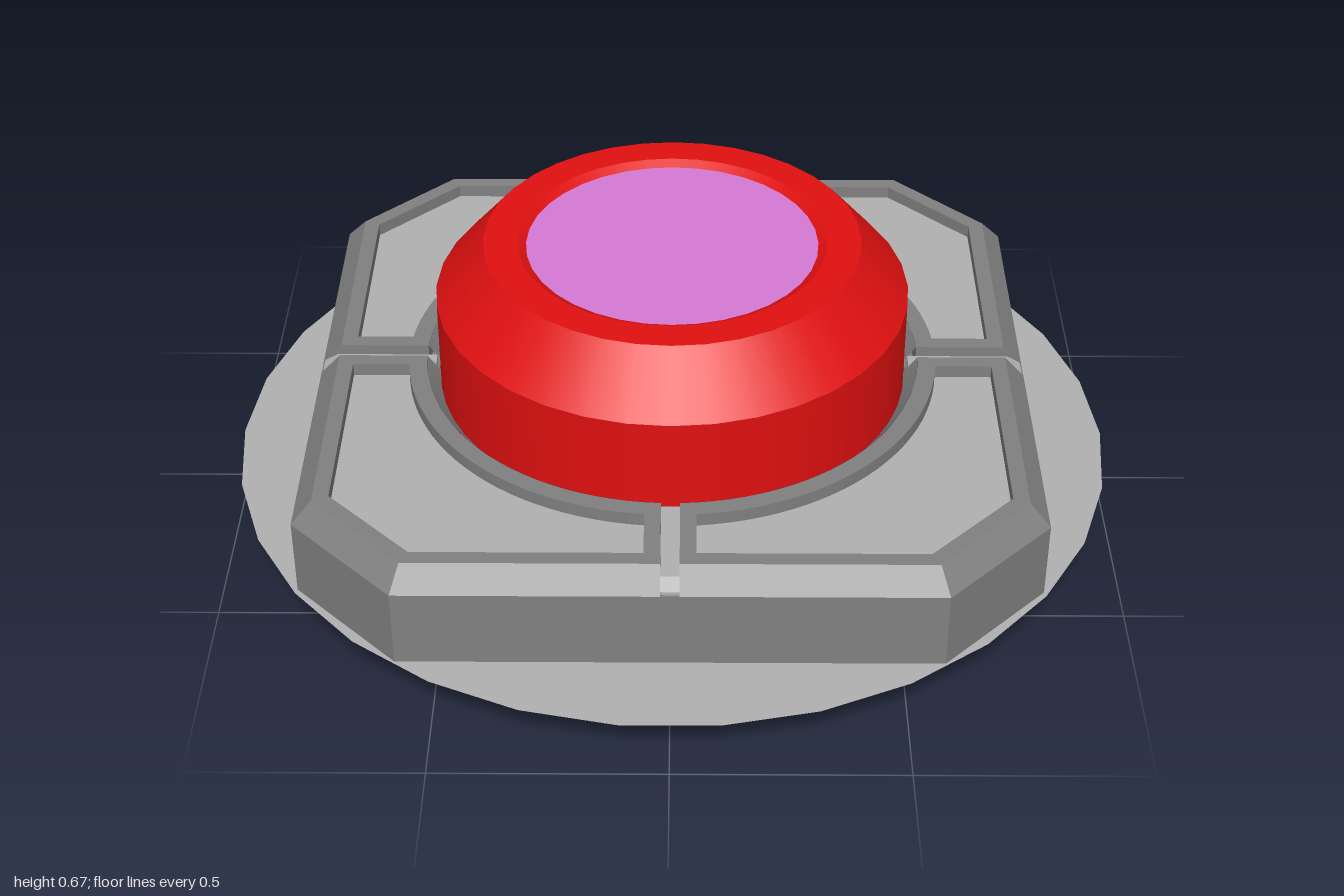
import * as THREE from 'three';

const mat = (name, color, side = THREE.DoubleSide) => {
  const m = new THREE.MeshStandardMaterial({ color, side });
  m.name = name;
  return m;
};

export function createModel() {
  const model = new THREE.Group();
  model.name = 'button';
  const red = mat('red', 0xe01010);
  const grey = mat('grey', 0x808080);
  const light = mat('light grey', 0xb0b0b0);
  const pink = mat('pink', 0xd478d4);

  const add = (parent, name, geometry, material, y = 0) => {
    const mesh = new THREE.Mesh(geometry, material);
    mesh.name = name;
    mesh.position.y = y;
    parent.add(mesh);
    return mesh;
  };
  // flat outline in x/z, extruded upwards
  const slab = (shape, depth, curveSegments = 12) =>
    new THREE.ExtrudeGeometry(shape, { depth, bevelEnabled: false, curveSegments }).rotateX(-Math.PI / 2);

  const H = 0.805, C = 0.575; // plate half width and corner cut
  const G = 0.02, R = 0.56;   // half groove width, inner ring radius

  // octagonal base plate with a round hole
  const oct = new THREE.Shape([[H, -C], [H, C], [C, H], [-C, H], [-H, C], [-H, -C], [-C, -H], [C, -H]]
    .map(([x, y]) => new THREE.Vector2(x, y)));
  oct.holes.push(new THREE.Path().absarc(0, 0, 0.535, 0, Math.PI * 2, true));
  add(model, 'basePlate', slab(oct, 0.18, 30), grey, 0.13);

  // thin round skirt under the plate
  add(model, 'skirtDisc', new THREE.RingGeometry(0.6, 1, 30).rotateX(-Math.PI / 2), light, 0.131);

  // panel outline for one quadrant
  const pr = 0.6, pg = 0.055, pa = Math.asin(pg / pr);
  const panelPath = (path) => {
    path.moveTo(pr * Math.cos(pa), pg);
    [[0.725, pg], [0.725, 0.54], [0.54, 0.725], [pg, 0.725]].forEach(([x, y]) => path.lineTo(x, y));
    path.absarc(0, 0, pr, Math.PI / 2 - pa, pa, true);
    return path;
  };

  // frame outline for one quadrant
  const a0 = Math.asin(G / R);
  const frame = new THREE.Shape();
  frame.moveTo(R * Math.cos(a0), G);
  [[H, G], [H, C], [C, H], [G, H]].forEach(([x, y]) => frame.lineTo(x, y));
  frame.absarc(0, 0, R, Math.PI / 2 - a0, a0, true);
  frame.holes.push(panelPath(new THREE.Path()));
  const frameGeo = slab(frame, 0.05);

  // pull the top outer edge inwards to form the bevel
  const inset = (v) => {
    const a = Math.abs(v);
    if (Math.abs(a - H) < 1e-4) return Math.sign(v) * 0.76;
    if (Math.abs(a - C) < 1e-4) return Math.sign(v) * 0.556;
    return v;
  };
  const p = frameGeo.attributes.position;
  for (let i = 0; i < p.count; i++) {
    const x = p.getX(i), z = p.getZ(i);
    const outer = Math.max(Math.abs(x), Math.abs(z)) > H - 1e-3;
    if (p.getY(i) > 0.04 && outer) p.setXYZ(i, inset(x), p.getY(i), inset(z));
  }
  frameGeo.computeVertexNormals();

  const panelGeo = new THREE.ShapeGeometry(panelPath(new THREE.Shape()), 12).rotateX(-Math.PI / 2);
  const funnelGeo = new THREE.LatheGeometry(
    [new THREE.Vector2(R, 0.36), new THREE.Vector2(0.53, 0.32)], 12, a0, Math.PI / 2 - 2 * a0);

  // light strip in the groove, sloping down at its outer end
  const strip = new THREE.Shape([[0.54, 0.31], [0.8, 0.31], [0.8, 0.318], [0.77, 0.335], [0.54, 0.335]]
    .map(([x, y]) => new THREE.Vector2(x, y)));
  const stripGeo = new THREE.ExtrudeGeometry(strip, { depth: 2 * G, bevelEnabled: false }).translate(0, 0, -G);

  for (let i = 0; i < 4; i++) {
    const quarter = new THREE.Group();
    quarter.name = 'plateQuarter';
    quarter.rotation.y = i * Math.PI / 2;
    add(quarter, 'quarterFrame', frameGeo, grey, 0.31);
    add(quarter, 'panel', panelGeo, light, 0.33);
    // the lathe sweeps the +z side, so turn it onto the frame quadrant
    add(quarter, 'innerBevel', funnelGeo, grey).rotation.y = Math.PI / 2;
    add(quarter, 'grooveStrip', stripGeo, light);
    model.add(quarter);
  }

  // hollow red button; one lathe per profile segment keeps the edges sharp
  const profile = [[0.53, 0], [0.53, 0.54], [0.42, 0.667], [0.345, 0.667], [0.325, 0.655]];
  const names = ['buttonWall', 'buttonShoulder', 'buttonRim', 'buttonInnerLip'];
  names.forEach((name, i) => {
    const pts = [profile[i], profile[i + 1]].map(([x, y]) => new THREE.Vector2(x, y));
    add(model, name, new THREE.LatheGeometry(pts, 36), red);
  });
  add(model, 'buttonFace', new THREE.CircleGeometry(0.326, 36).rotateX(-Math.PI / 2), pink, 0.655);

  return model;
}
